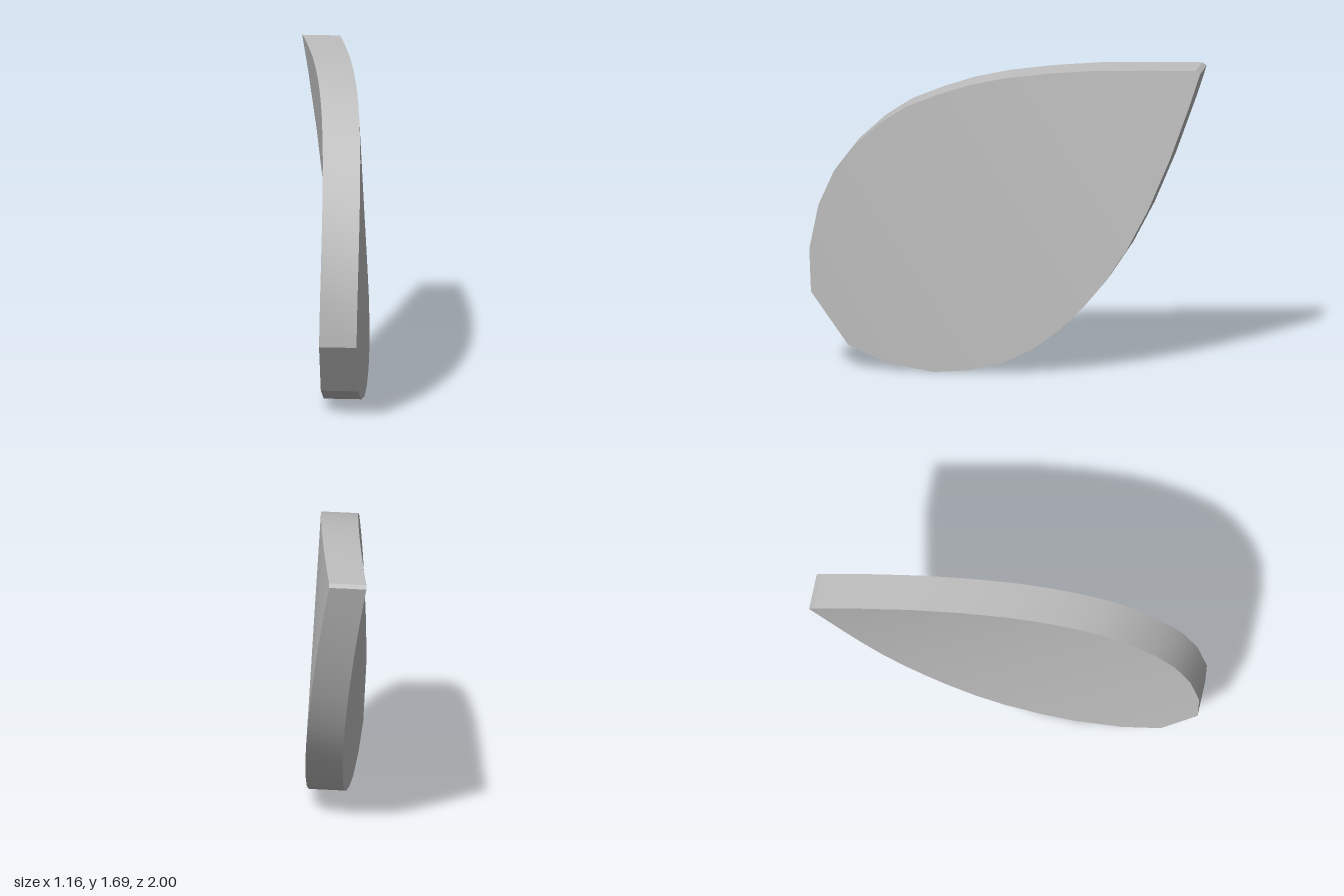
import * as THREE from 'three';
import { toCreasedNormals } from 'three/addons/utils/BufferGeometryUtils.js';

// Lower and upper edges of the petal as [y, z], from the blunt end to the tip
const LOWER = [[.14, .82], [.045, .64], [.004, .43], [.02, .27], [.07, .11], [.15, -.025], [.265, -.155],
  [.39, -.265], [.53, -.37], [.71, -.48], [.93, -.59], [1.2, -.705], [1.5, -.82], [1.67, -.882]];
const UPPER = [[.43, .99], [.67, 1], [.92, .96], [1.11, .89], [1.25, .8], [1.385, .675], [1.48, .55],
  [1.55, .4], [1.605, .25], [1.645, .08], [1.673, -.13], [1.69, -.37], [1.69, -.66], [1.687, -.86]];
const THICKNESS = new THREE.Vector3(-.167, 0, -.118);

// Places an edge point on the face, which bends gently along its length
function onFace([y, z]) {
  const s = .56 * y - .83 * z;
  return new THREE.Vector3(-.02 - .015 * y - .639 * (z - .43) - .075 * s * s, y, z);
}

function petalGeometry() {
  const lower = LOWER.map(onFace), upper = UPPER.map(onFace);
  const back = (p) => p.clone().add(THICKNESS);
  const positions = [];
  const quad = (a, b, c, d) => {
    for (const p of [a, b, c, a, c, d]) positions.push(p.x, p.y, p.z);
  };

  // Both broad faces, as strips across the petal
  for (let i = 0; i < lower.length - 1; i++) {
    const [a, b, c, d] = [lower[i], lower[i + 1], upper[i + 1], upper[i]];
    quad(a, b, c, d);
    quad(back(d), back(c), back(b), back(a));
  }

  // Rim
  const loop = [...lower, ...[...upper].reverse()];
  loop.forEach((p, i) => {
    const q = loop[(i + 1) % loop.length];
    quad(back(p), back(q), q, p);
  });

  const geometry = new THREE.BufferGeometry();
  geometry.setAttribute('position', new THREE.Float32BufferAttribute(positions, 3));
  return toCreasedNormals(geometry, THREE.MathUtils.degToRad(30));
}

export function createModel() {
  const grey = new THREE.MeshStandardMaterial({ color: 0xc0c0c0 });
  grey.name = 'light grey';
  const petal = new THREE.Mesh(petalGeometry(), grey);
  petal.name = 'petal';
  const model = new THREE.Group();
  model.name = 'petalSlab';
  model.add(petal);
  return model;
}
